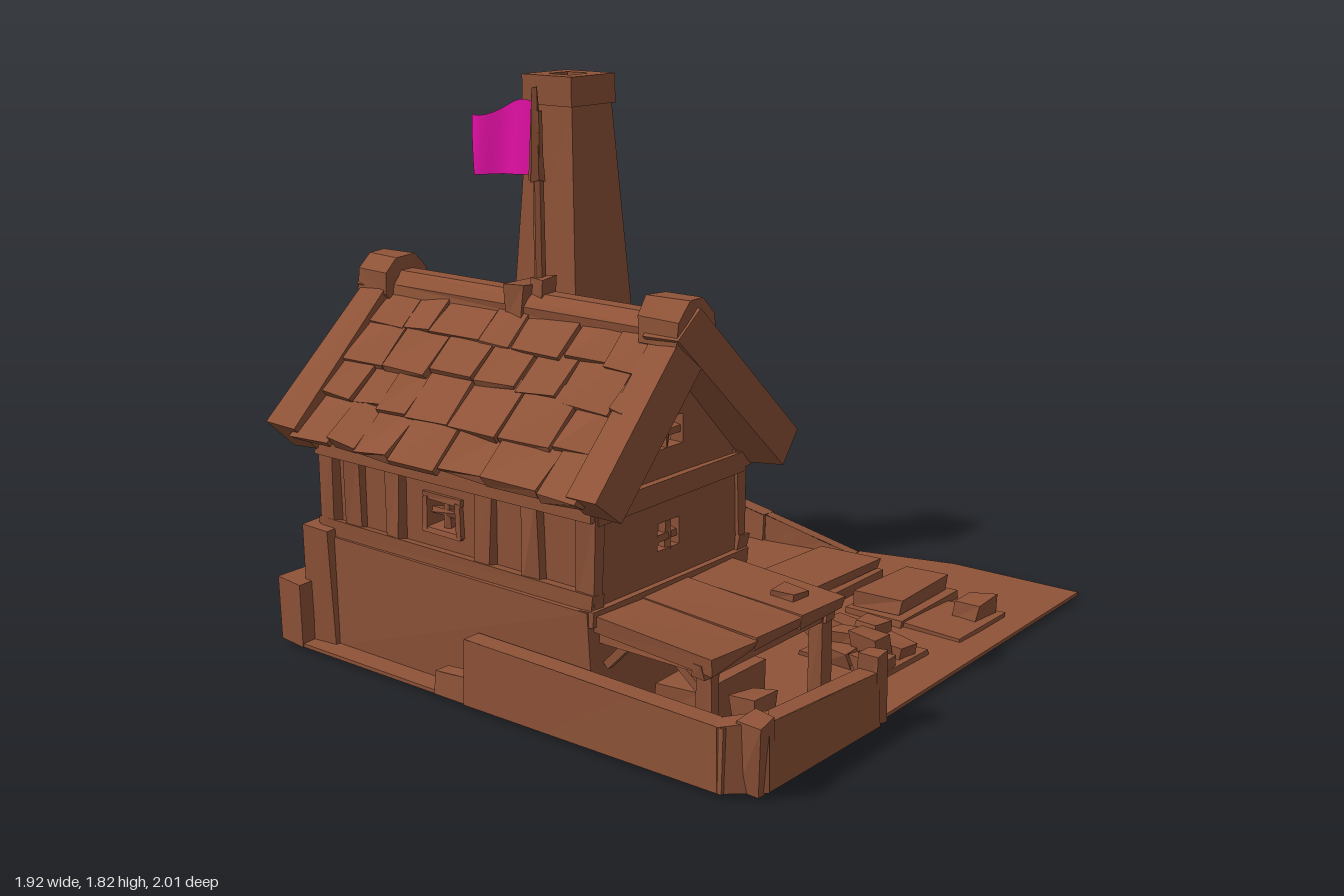
import * as THREE from 'three';

const clay = new THREE.MeshStandardMaterial({ color: 0x8f5338, flatShading: true });
clay.name = 'brown clay';
const cloth = new THREE.MeshStandardMaterial({ color: 0xe00fa3, side: THREE.DoubleSide });
cloth.name = 'magenta cloth';

let seed = 7;
const rand = () => ((seed = (seed * 16807) % 2147483647) / 2147483647) * 2 - 1;

// Nudges each corner by a small amount, keeping coincident corners together
function roughen(geo, amount) {
  const p = geo.attributes.position, moved = new Map();
  for (let i = 0; i < p.count; i++) {
    const key = [p.getX(i), p.getY(i), p.getZ(i)].map(v => v.toFixed(3)).join();
    if (!moved.has(key)) moved.set(key, [rand() * amount, rand() * amount, rand() * amount]);
    const d = moved.get(key);
    p.setXYZ(i, p.getX(i) + d[0], p.getY(i) + d[1], p.getZ(i) + d[2]);
  }
  geo.computeVertexNormals();
  return geo;
}

function add(parent, name, geo, pos = [0, 0, 0], rot = [0, 0, 0], mat = clay) {
  const m = new THREE.Mesh(geo, mat);
  m.name = name;
  m.position.set(...pos);
  m.rotation.set(...rot);
  parent.add(m);
  return m;
}

// Box given by its ranges on x, y and z
function block(parent, name, [x0, x1], [y0, y1], [z0, z1], rough = 0.006) {
  return add(parent, name, roughen(new THREE.BoxGeometry(x1 - x0, y1 - y0, z1 - z0), rough),
    [(x0 + x1) / 2, (y0 + y1) / 2, (z0 + z1) / 2]);
}

// Straight beam between two points
function beam(parent, name, a, b, w) {
  const A = new THREE.Vector3(...a), B = new THREE.Vector3(...b);
  const m = add(parent, name, new THREE.BoxGeometry(w, w, A.distanceTo(B)));
  m.position.copy(A).add(B).multiplyScalar(0.5);
  m.lookAt(B);
}

// Low wall along the ground from a to b (x, z), with a height at each end
function lowWall(parent, a, b, h0, h1, w) {
  const dx = b[0] - a[0], dz = b[1] - a[1], len = Math.hypot(dx, dz);
  const g = new THREE.BoxGeometry(len, 1, w, 3, 1, 1), p = g.attributes.position;
  for (let i = 0; i < p.count; i++) {
    const t = p.getX(i) / len + 0.5, top = p.getY(i) > 0;
    p.setY(i, top ? h0 + (h1 - h0) * t + rand() * 0.001 : 0.002);
    if (top) p.setZ(i, p.getZ(i) * 0.8);
  }
  g.computeVertexNormals();
  add(parent, 'boundaryWall', g, [(a[0] + b[0]) / 2, 0, (a[1] + b[1]) / 2], [0, -Math.atan2(dz, dx), 0]);
}

const poly = pts => new THREE.Shape(pts.map(p => new THREE.Vector2(...p)));
const rect = (x0, x1, y0, y1) => poly([[x0, y0], [x1, y0], [x1, y1], [x0, y1]]);
const extrude = (shape, depth, holes = []) => {
  shape.holes.push(...holes);
  return new THREE.ExtrudeGeometry(shape, { depth, bevelEnabled: false, curveSegments: 6 });
};
const SIDE = [0, -Math.PI / 2, 0]; // shape x runs along +z, depth along -x

// Square tapering tier
function tier(parent, name, x, z, y0, y1, w0, w1, rough = 0.005) {
  const g = new THREE.CylinderGeometry(w1 * Math.SQRT1_2, w0 * Math.SQRT1_2, y1 - y0, 4).rotateY(Math.PI / 4);
  add(parent, name, roughen(g, rough), [x, (y0 + y1) / 2, z]);
}

function buildHouse() {
  const g = new THREE.Group();
  g.name = 'house';
  // walls with window openings
  const frontHole = [-0.36, -0.23, 0.48, 0.575];
  add(g, 'frontWall', extrude(rect(-0.8, 0.31, 0, 0.78), 0.05, [rect(...frontHole)]), [0, 0, 0.82]);
  add(g, 'backWall', extrude(rect(-0.8, 0.31, 0, 0.78), 0.05, [rect(...frontHole)]), [0, 0, 0.21]);
  for (const [x, name] of [[0.32, 'rightGable'], [-0.77, 'leftGable']]) {
    const s = poly([[0.2, 0], [0.88, 0], [0.88, 0.74], [0.54, 1.1], [0.2, 0.74]]);
    add(g, name, extrude(s, 0.05, [rect(0.5, 0.6, 0.47, 0.555), rect(0.48, 0.6, 0.78, 0.87)]), [x, 0, 0], SIDE);
  }
  // window bars and frames
  for (const z of [0.845, 0.235]) {
    block(g, 'windowBar', [-0.305, -0.285], [0.47, 0.58], [z - 0.015, z + 0.015]);
    block(g, 'windowBar', [-0.37, -0.22], [0.52, 0.54], [z - 0.015, z + 0.015]);
    for (const y of [0.475, 0.582]) block(g, 'windowFrame', [-0.375, -0.215], [y - 0.01, y + 0.01], [z - 0.04, z + 0.04], 0.004);
    for (const x of [-0.367, -0.224]) block(g, 'windowFrame', [x - 0.01, x + 0.01], [0.47, 0.58], [z - 0.04, z + 0.04], 0.004);
  }
  for (const x of [0.3, -0.8]) for (const y of [0.51, 0.825]) {
    block(g, 'windowBar', [x - 0.015, x + 0.015], [y - 0.05, y + 0.05], [0.535, 0.555]);
    block(g, 'windowBar', [x - 0.015, x + 0.015], [y - 0.01, y + 0.01], [0.48, 0.61]);
  }
  // stone base and timber rails
  block(g, 'stoneBase', [-0.8, 0.33], [0, 0.37], [0.19, 0.915], 0.01);
  for (const z of [0.88, 0.2]) {
    block(g, 'sillBeam', [-0.84, 0.335], [0.37, 0.42], [z - 0.025, z + 0.025]);
    block(g, 'topBeam', [-0.83, 0.335], [0.64, 0.7], [z - 0.03, z + 0.03]);
    for (const x of [-0.8, -0.68, -0.5, -0.11, 0.08, 0.3])
      block(g, 'wallPost', [x - 0.035, x + 0.035], [0.38, 0.68], [z - 0.02, z + 0.02], 0.01);
  }
  for (const x of [0.315, -0.815]) {
    block(g, 'gableBeam', [x - 0.025, x + 0.025], [0.63, 0.69], [0.19, 0.89]);
    block(g, 'gableSill', [x - 0.025, x + 0.025], [0.33, 0.38], [0.18, 0.92]);
  }
  block(g, 'cornerStone', [-0.87, -0.76], [0, 0.4], [0.8, 0.93], 0.012);
  return g;
}

function buildRoof() {
  const g = new THREE.Group();
  g.name = 'roof';
  const a = 0.79, cos = Math.cos(a), sin = Math.sin(a);
  for (const turn of [0, Math.PI]) {
    const side = new THREE.Group();
    side.name = turn ? 'backSlope' : 'frontSlope';
    side.position.set(-0.245, 1.17, 0.54);
    side.rotation.set(0, turn, 0);
    g.add(side);
    // s runs down the slope, n stands off it
    const onSlope = (name, w, t, len, x, s, n, tilt = 0, rough = 0.006) =>
      add(side, name, roughen(new THREE.BoxGeometry(w, t, len), rough),
        [x, -s * sin + n * cos, s * cos + n * sin], [a - tilt, 0, 0]);
    onSlope('roofDeck', 1.16, 0.05, 0.58, 0, 0.3, -0.045, 0, 0);
    // overlapping shingle rows
    for (let row = 0; row < 4; row++) {
      let x = -0.59;
      while (x < 0.58) {
        const w = Math.min(0.17 + rand() * 0.05, 0.6 - x);
        onSlope('shingle', w - 0.004, 0.032, 0.2 + rand() * 0.02, x + w / 2, 0.1 + row * 0.148, -0.008, 0.09, 0.009);
        x += w;
      }
    }
    // thick verge boards at both ends
    for (const x of [-0.615, 0.615]) {
      const board = onSlope('vergeBoard', 0.125, 0.12, 0.66, x, 0.3, -0.035, 0, 0.012);
      board.rotation.y = Math.sign(x) * 0.03;
    }
  }
  // ridge beam with chunky ends
  const log = (name, r, len, x, y) =>
    add(g, name, roughen(new THREE.CylinderGeometry(r, r, len, 8).rotateZ(Math.PI / 2).rotateX(Math.PI / 8), 0.006), [x, y, 0.54]);
  log('ridgeBeam', 0.065, 1.1, -0.245, 1.12);
  log('ridgeEnd', 0.094, 0.14, -0.85, 1.145);
  log('ridgeEnd', 0.094, 0.15, 0.345, 1.145);
  return g;
}

function buildFlag() {
  const g = new THREE.Group();
  g.name = 'flag';
  block(g, 'poleSaddle', [-0.28, -0.2], [1.1, 1.205], [0.47, 0.61], 0.008);
  block(g, 'poleFoot', [-0.21, -0.15], [1.15, 1.23], [0.51, 0.57], 0.008);
  add(g, 'pole', new THREE.CylinderGeometry(0.015, 0.019, 0.55, 6), [-0.185, 1.46, 0.545]);
  add(g, 'poleTip', roughen(new THREE.CylinderGeometry(0.008, 0.024, 0.28, 6), 0.004), [-0.188, 1.665, 0.55]);
  // waving cloth
  const c = new THREE.PlaneGeometry(1, 1, 12, 4), p = c.attributes.position;
  for (let i = 0; i < p.count; i++) {
    const t = 0.5 - p.getX(i), v = p.getY(i) + 0.5;
    const low = 1.54 - 0.035 * t, high = 1.76 - 0.06 * t + 0.015 * Math.sin(t * 6);
    p.setXYZ(i, -0.205 - 0.33 * t - 0.02 * v * t, low + (high - low) * v,
      0.53 - 0.085 * t + 0.022 * Math.sin(t * 8 + v * 1.2) * t);
  }
  c.computeVertexNormals();
  add(g, 'cloth', c, [0, 0, 0], [0, 0, 0], cloth);
  return g;
}

function buildChimney() {
  const g = new THREE.Group();
  g.name = 'chimney';
  const x = -0.645, z = -0.11;
  for (const [y0, y1, w0, w1] of [[0, 0.37, 0.48, 0.45], [0.37, 0.56, 0.43, 0.41], [0.56, 0.7, 0.39, 0.37],
    [0.7, 0.92, 0.35, 0.33], [0.92, 0.96, 0.355, 0.35], [0.96, 1.68, 0.29, 0.2]])
    tier(g, 'chimneyTier', x, z, y0, y1, w0, w1);
  const cap = extrude(rect(-0.112, 0.112, -0.112, 0.112), 0.1, [rect(-0.05, 0.05, -0.05, 0.05)]);
  add(g, 'chimneyCap', cap, [-0.65, 1.68, z], [-Math.PI / 2, 0, 0]);
  // hearth with arched mouth
  const hearth = poly([[-0.34, 0], [-0.22, 0], [-0.22, 0.13], [-0.18, 0.22], [-0.13, 0.25], [-0.08, 0.22],
    [-0.03, 0.13], [-0.03, 0], [0.11, 0], [0.09, 0.36], [-0.31, 0.36]]);
  add(g, 'hearth', extrude(hearth, 0.14), [-0.29, 0, 0], SIDE);
  const vent = poly([[-0.15, 0.6], [-0.12, 0.6], [-0.115, 0.67], [-0.085, 0.67], [-0.08, 0.6], [-0.055, 0.6], [-0.075, 0.7], [-0.13, 0.7]]);
  add(g, 'ventFrame', extrude(vent, 0.06), [-0.445, 0, 0], SIDE);
  return g;
}

function buildKiln() {
  const profile = [[0, 0], [0.215, 0], [0.225, 0.2], [0.2, 0.39], [0.2, 0.46], [0.172, 0.46], [0.145, 0.61], [0.125, 0.63],
    [0.07, 0.76], [0.068, 0.79], [0.09, 0.86], [0.085, 0.89], [0.05, 0.89], [0.045, 0.8], [0, 0.8]];
  const geo = new THREE.LatheGeometry(profile.map(p => new THREE.Vector2(...p)), 11);
  const m = new THREE.Mesh(geo, clay);
  m.name = 'kiln';
  m.position.set(-0.645, 0.003, -0.515);
  return m;
}

function buildCanopy() {
  const g = new THREE.Group();
  g.name = 'workshopCanopy';
  for (let i = 0; i < 3; i++) {
    const m = block(g, 'roofPlank', [0.33, 0.755], [0.305, 0.345], [0.265 + i * 0.215, 0.475 + i * 0.215], 0.008);
    m.rotation.z = -0.06;
  }
  block(g, 'roofHatch', [0.6, 0.68], [0.33, 0.36], [0.335, 0.41]);
  for (const z of [0.31, 0.85]) {
    block(g, 'post', [0.68, 0.73], [0, 0.31], [z - 0.025, z + 0.025]);
    block(g, 'rafter', [0.32, 0.74], [0.27, 0.305], [z - 0.02, z + 0.02]);
    for (const [x0, x1] of [[0.7, 0.6], [0.34, 0.42]]) beam(g, 'brace', [x0, 0.2, z], [x1, 0.28, z], 0.025);
  }
  block(g, 'longBeam', [0.69, 0.73], [0.27, 0.305], [0.27, 0.9]);
  block(g, 'workbench', [0.4, 0.58], [0.01, 0.12], [0.4, 0.72], 0.012);
  block(g, 'crate', [0.6, 0.68], [0.01, 0.09], [0.5, 0.6], 0.01);
  return g;
}

function buildYard() {
  const g = new THREE.Group();
  g.name = 'yard';
  const outline = [[-0.92, -0.78], [-0.85, -0.85], [-0.3, -0.84], [0, -0.88], [0.4, -0.99], [0.89, -1], [0.95, 0.9],
    [0.85, 0.985], [-0.85, 0.985], [-0.92, 0.9]];
  add(g, 'ground', extrude(poly(outline.map(([x, z]) => [x, -z])), 0.012), [0, 0, 0], [-Math.PI / 2, 0, 0]);
  for (const [a, b, h0, h1, w] of [
    [[-0.9, 0.95], [-0.9, 0.1], 0.2, 0.16, 0.08], [[-0.9, 0.1], [-0.91, -0.76], 0.16, 0.19, 0.08],
    [[-0.93, -0.73], [-0.83, -0.83], 0.21, 0.21, 0.08], [[-0.85, -0.815], [-0.3, -0.805], 0.2, 0.11, 0.075],
    [[-0.3, -0.805], [0.06, -0.86], 0.11, 0.014, 0.06], [[-0.24, 0.955], [-0.11, 0.955], 0.075, 0.085, 0.07],
    [[-0.11, 0.955], [0.86, 0.95], 0.21, 0.19, 0.08], [[0.82, 0.96], [0.93, 0.87], 0.19, 0.21, 0.08],
    [[0.915, 0.9], [0.915, 0.35], 0.2, 0.17, 0.075]]) lowWall(g, a, b, h0, h1, w);
  block(g, 'wallStone', [-0.955, -0.85], [0.002, 0.215], [0.87, 0.985], 0.008);
  block(g, 'wallStone', [0.88, 0.95], [0.002, 0.21], [0.87, 0.94], 0.008);
  block(g, 'wallStone', [0.88, 0.95], [0.002, 0.22], [0.3, 0.37], 0.008);
  // stacked boards, slabs and stones
  block(g, 'boardPallet', [0.02, 0.29], [0.005, 0.05], [-0.68, -0.12], 0.008);
  block(g, 'boardStack', [0.045, 0.275], [0.05, 0.095], [-0.67, -0.135], 0.01);
  block(g, 'slabBase', [0.36, 0.59], [0.005, 0.04], [-0.69, -0.33], 0.008);
  block(g, 'slab', [0.38, 0.56], [0.04, 0.085], [-0.68, -0.36], 0.012);
  block(g, 'boxBase', [0.59, 0.81], [0.005, 0.025], [-0.63, -0.34], 0.005);
  block(g, 'smallBox', [0.69, 0.78], [0.02, 0.085], [-0.61, -0.5], 0.008);
  block(g, 'stoneBed', [0.46, 0.78], [0.005, 0.025], [-0.19, 0.07], 0.006);
  for (const [x, z, h] of [[0.52, -0.12, 0.08], [0.62, -0.11, 0.11], [0.71, -0.1, 0.07], [0.58, -0.02, 0.1],
    [0.68, -0.01, 0.12], [0.6, 0.04, 0.06], [0.72, 0.04, 0.06]])
    block(g, 'stone', [x - 0.05, x + 0.05], [0.02, h], [z - 0.04, z + 0.04], 0.012);
  return g;
}

export function createModel() {
  const model = new THREE.Group();
  model.name = 'potteryYard';
  model.add(buildYard(), buildHouse(), buildRoof(), buildFlag(), buildChimney(), buildKiln(), buildCanopy());
  return model;
}
